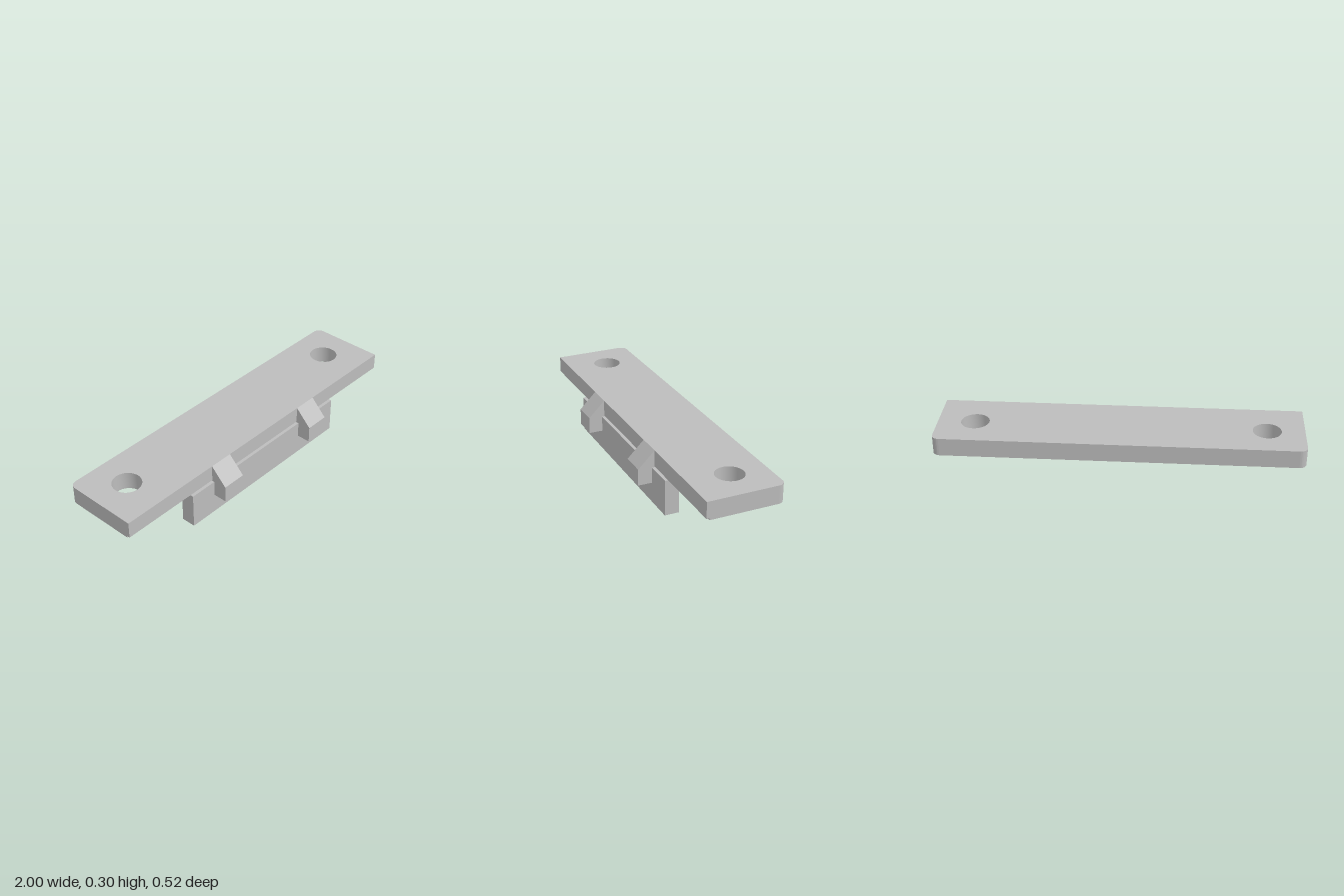
import * as THREE from 'three';
import { toCreasedNormals } from 'three/addons/utils/BufferGeometryUtils.js';

export function createModel() {
  const model = new THREE.Group();
  model.name = 'mountingBracket';
  const grey = new THREE.MeshStandardMaterial({ color: 0xbcbcbc });
  grey.name = 'grey';

  const add = (name, geometry) => {
    const mesh = new THREE.Mesh(geometry, grey);
    mesh.name = name;
    model.add(mesh);
    return mesh;
  };

  // Plate layer: rounded rear corners and two screw holes, extruded upwards
  const plateLayer = (frontZ, y0, y1) => {
    const back = 0.262, r = 0.04;
    const shape = new THREE.Shape();
    shape.moveTo(-1, -frontZ);
    shape.lineTo(1, -frontZ);
    shape.lineTo(1, back - r);
    shape.absarc(1 - r, back - r, r, 0, Math.PI / 2, false);
    shape.lineTo(-1 + r, back);
    shape.absarc(-1 + r, back - r, r, Math.PI / 2, Math.PI, false);
    shape.closePath();
    for (const side of [-1, 1]) {
      const hole = new THREE.Path();
      hole.absarc(side * 0.795, 0.06, 0.078, 0, Math.PI * 2, true);
      shape.holes.push(hole);
    }
    const geometry = new THREE.ExtrudeGeometry(shape, { depth: y1 - y0, bevelEnabled: false, curveSegments: 24 });
    geometry.rotateX(-Math.PI / 2).translate(0, y0, 0);
    return toCreasedNormals(geometry, 0.6);
  };

  // The lower layer is set back, leaving a shallow step under the front edge
  add('plate', plateLayer(0.17, 0.205, 0.297));
  add('plateUnderside', plateLayer(0.153, 0.195, 0.205));

  // Hanging flange below the front edge
  add('flange', new THREE.BoxGeometry(1.14, 0.2, 0.08)).position.set(0, 0.1, 0.144);

  // Chamfered hooks: side profile in (z, y), extruded across x
  const profile = new THREE.Shape([
    [0.098, 0.112], [0.262, 0.112], [0.262, 0.205], [0.17, 0.297], [0.098, 0.297 - 0.002], 
  ].map(([z, y]) => new THREE.Vector2(-z, y)));
  const width = 0.136;
  for (const [name, x] of [['leftHook', 0.343], ['rightHook', -0.343]]) {
    const geometry = new THREE.ExtrudeGeometry(profile, { depth: width, bevelEnabled: false });
    geometry.translate(0, 0, -width / 2).rotateY(Math.PI / 2);
    add(name, geometry).position.x = x;
  }
  return model;
}
